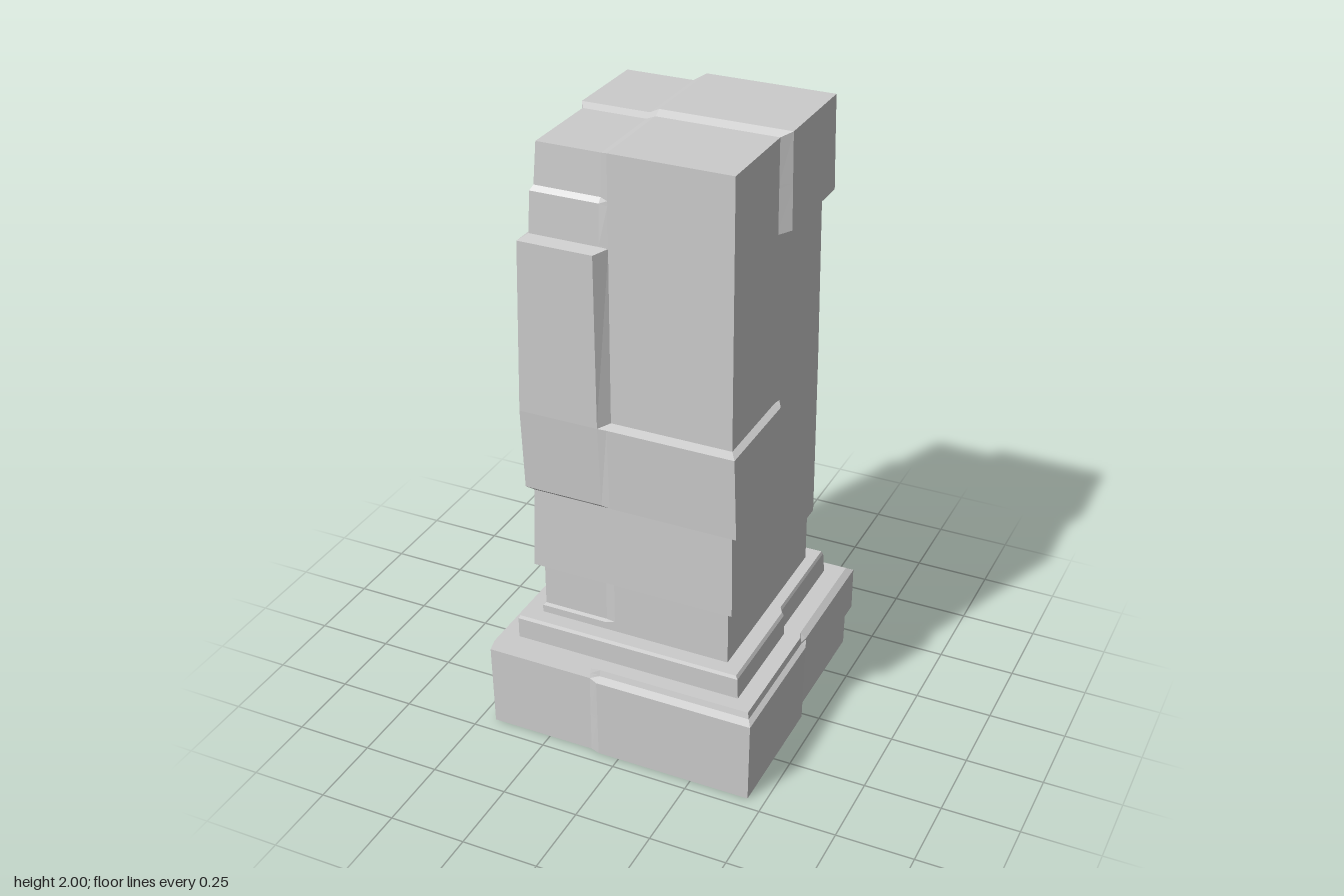
import * as THREE from 'three';

const stone = new THREE.MeshStandardMaterial({ color: 0xcccccc, flatShading: true });

// Seams split every course into four quarters, with a narrow bevel between them
const seamX = [-0.07, -0.07, -0.1, -0.1];
const seamZ = [0.015, -0.01, -0.01, 0.015];

// Reach [x, z] of a quarter at height y, from its profile of [y, x, z] rows
function reach(profile, y) {
  let a = profile[0];
  for (const b of profile) {
    if (b[0] >= y) {
      const t = b[0] > a[0] ? (y - a[0]) / (b[0] - a[0]) : 0;
      return [a[1] + (b[1] - a[1]) * t, a[2] + (b[2] - a[2]) * t];
    }
    a = b;
  }
  return [a[1], a[2]];
}

// Lofts a course from four quarter profiles, in the order
// front left, back left, back right, front right; lift tilts each quarter's top
function course(name, quarters, lift = [0, 0, 0, 0]) {
  const levels = [...new Set(quarters.flatMap(q => q.map(r => r[0])))].sort((a, b) => a - b);
  const pos = [];
  const quad = (a, b, c, d) => pos.push(...a, ...b, ...c, ...a, ...c, ...d);

  const rings = levels.map((y, k) => quarters.flatMap((q, i) => {
    const [x, z] = reach(q, y);
    const h = y + (k === levels.length - 1 ? lift[i] : 0);
    const pts = [[seamX[i], h, z], [x, h, z], [x, h, seamZ[i]]];
    return i % 2 ? pts.reverse() : pts;
  }));
  for (let k = 0; k + 1 < rings.length; k++) {
    const lo = rings[k], hi = rings[k + 1];
    for (let i = 0; i < 12; i++) {
      const j = (i + 1) % 12;
      quad(lo[i], lo[j], hi[j], hi[i]);
    }
  }

  // Top and bottom caps: four quarters, the bevels between them and the middle
  const cap = (ring, face) => {
    const inner = seamX.map((x, i) => [x, ring[i * 3][1], seamZ[i]]);
    for (let i = 0; i < 4; i++) {
      const n = (i + 1) % 4;
      face(ring[i * 3], ring[i * 3 + 1], ring[i * 3 + 2], inner[i]);
      face(ring[i * 3 + 2], ring[n * 3], inner[n], inner[i]);
    }
    face(...inner);
  };
  cap(rings[rings.length - 1], quad);
  cap(rings[0], (a, b, c, d) => quad(d, c, b, a));

  const geo = new THREE.BufferGeometry();
  geo.setAttribute('position', new THREE.Float32BufferAttribute(pos, 3));
  geo.computeVertexNormals();
  const mesh = new THREE.Mesh(geo, stone);
  mesh.name = name;
  return mesh;
}

export function createModel() {
  const pillar = new THREE.Group();
  pillar.name = 'stonePillar';

  // Wide foot, undercut at the back left
  pillar.add(course('plinth', [
    [[0, 0.445, 0.46], [0.28, 0.45, 0.465], [0.29, 0.435, 0.44], [0.31, 0.43, 0.435]],
    [[0, 0.42, -0.43], [0.135, 0.42, -0.435], [0.145, 0.44, -0.44], [0.295, 0.44, -0.44], [0.31, 0.42, -0.42]],
    [[0, -0.445, -0.45], [0.28, -0.457, -0.463], [0.31, -0.445, -0.44]],
    [[0, -0.45, 0.45], [0.28, -0.455, 0.45], [0.31, -0.445, 0.44]],
  ]));
  const knob = new THREE.Mesh(new THREE.BoxGeometry(0.09, 0.14, 0.04), stone);
  knob.name = 'plinthCornerBlock';
  knob.position.set(0.39, 0.215, -0.435);
  pillar.add(knob);

  // Low step on the plinth
  pillar.add(course('step', [
    [[0.3, 0.375, 0.385], [0.38, 0.372, 0.385], [0.39, 0.365, 0.38]],
    [[0.3, 0.36, -0.375], [0.38, 0.355, -0.37], [0.39, 0.35, -0.365]],
    [[0.3, -0.4, -0.39], [0.38, -0.385, -0.385], [0.39, -0.38, -0.375]],
    [[0.3, -0.385, 0.385], [0.38, -0.385, 0.385], [0.39, -0.38, 0.38]],
  ]));

  // Narrow neck with a slight lip on the right
  pillar.add(course('neck', [
    [[0.38, 0.315, 0.33], [0.58, 0.315, 0.33]],
    [[0.38, 0.315, -0.31], [0.58, 0.315, -0.31]],
    [[0.38, -0.325, -0.325], [0.415, -0.325, -0.325], [0.425, -0.315, -0.31], [0.58, -0.315, -0.31]],
    [[0.38, -0.325, 0.33], [0.415, -0.325, 0.33], [0.425, -0.315, 0.325], [0.58, -0.315, 0.325]],
  ]));

  // Tall shaft with stepped blocks, each quarter with its own outline
  pillar.add(course('shaft', [
    [[0.57, 0.33, 0.338], [0.845, 0.325, 0.335], [0.855, 0.345, 0.35], [1.13, 0.34, 0.36],
      [1.14, 0.32, 0.33], [1.98, 0.315, 0.325]],
    [[0.57, 0.33, -0.325], [1.13, 0.325, -0.328], [1.69, 0.318, -0.325], [1.7, 0.35, -0.345],
      [1.98, 0.345, -0.34]],
    [[0.57, -0.368, -0.358], [0.84, -0.36, -0.348], [0.855, -0.355, -0.325], [1.69, -0.342, -0.33],
      [1.705, -0.328, -0.315], [1.98, -0.32, -0.308]],
    [[0.57, -0.345, 0.338], [0.845, -0.335, 0.335], [0.855, -0.36, 0.345], [1.13, -0.36, 0.362],
      [1.69, -0.342, 0.366], [1.7, -0.325, 0.325], [1.83, -0.32, 0.32], [1.845, -0.312, 0.308],
      [1.98, -0.305, 0.3]],
  ], [0.006, 0.02, 0.005, -0.006]));

  return pillar;
}
